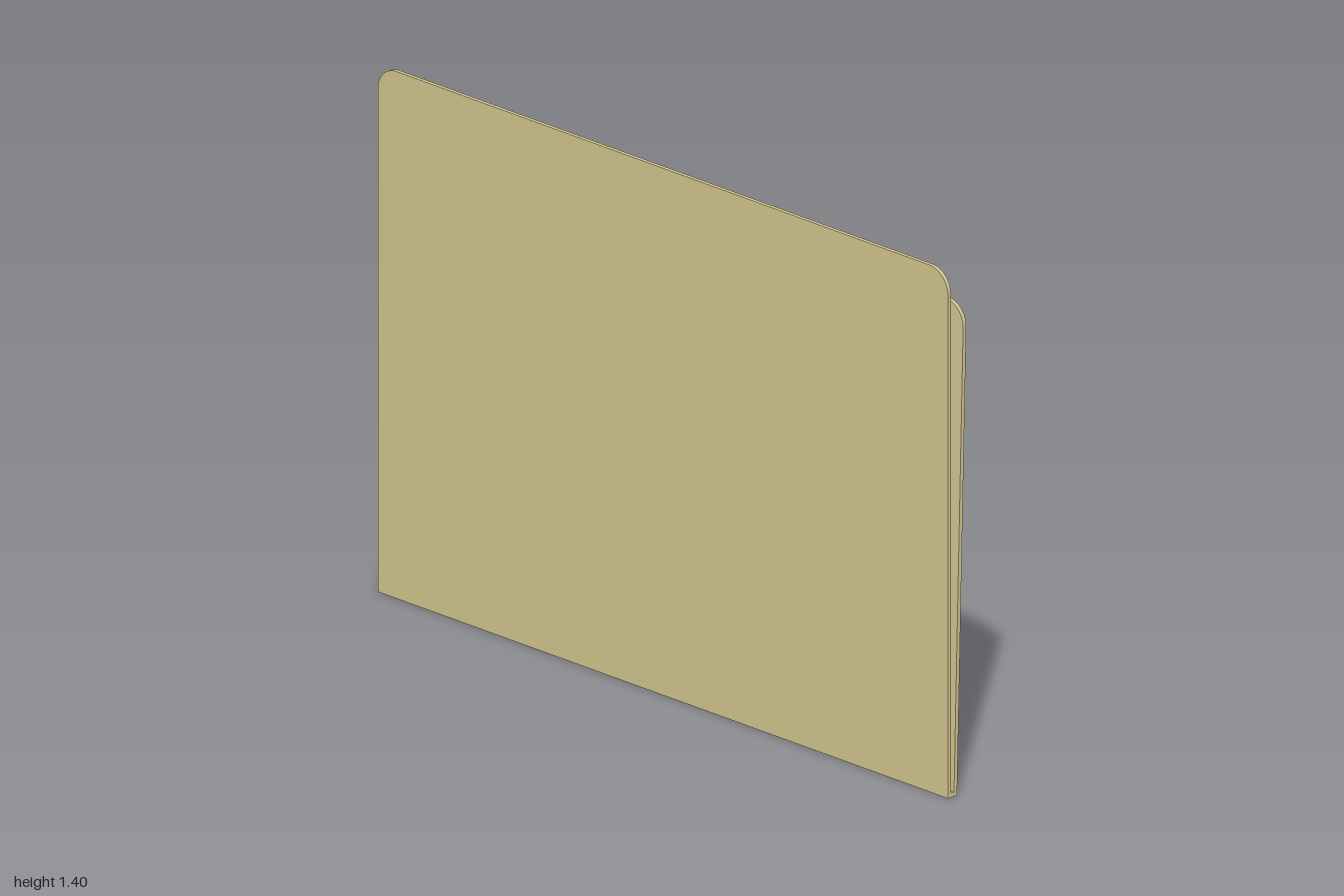
import * as THREE from 'three';

const card = new THREE.MeshStandardMaterial({ color: 0xd2c48f });
const paper = new THREE.MeshStandardMaterial({ color: 0xcccccc });

// Upright panel with rounded top corners; z0 and z1 are its rear-face depths at bottom and top
function panel(name, material, { width, y0, y1, r, depth, z0, z1, x = 0 }) {
  const w = width / 2;
  const s = new THREE.Shape();
  s.moveTo(-w, y0);
  s.lineTo(w, y0);
  s.lineTo(w, y1 - r);
  if (r > 0) s.absarc(w - r, y1 - r, r, 0, Math.PI / 2, false);
  else s.lineTo(w, y1);
  s.lineTo(-w + r, y1);
  if (r > 0) s.absarc(-w + r, y1 - r, r, Math.PI / 2, Math.PI, false);
  s.lineTo(-w, y0);
  const g = new THREE.ExtrudeGeometry(s, { depth, bevelEnabled: false, curveSegments: 8 });
  // Lean the panel by shearing z along its height
  const p = g.attributes.position;
  for (let i = 0; i < p.count; i++) {
    const t = (p.getY(i) - y0) / (y1 - y0);
    p.setZ(i, p.getZ(i) + z0 + (z1 - z0) * t);
  }
  g.translate(x, 0, 0);
  g.computeVertexNormals();
  const mesh = new THREE.Mesh(g, material);
  mesh.name = name;
  return mesh;
}

export function createModel() {
  const group = new THREE.Group();
  group.name = 'folder';

  // Folder covers: tall upright front, shorter back leaning away
  group.add(panel('frontCover', card, { width: 2, y0: 0, y1: 1.405, r: 0.065, depth: 0.011, z0: 0.023, z1: 0.023 }));
  group.add(panel('backCover', card, { width: 2, y0: 0, y1: 1.303, r: 0.065, depth: 0.011, z0: 0.002, z1: -0.032 }));

  // Bottom fold joining the covers
  const spine = new THREE.Mesh(new THREE.BoxGeometry(2, 0.011, 0.012), card);
  spine.position.set(0, 0.0055, 0.018);
  spine.name = 'bottomFold';
  group.add(spine);

  // Loose sheets fanned between the covers: x offset, top, rear z at bottom and top
  const sheets = [
    [-0.015, 1.385, 0.0195, 0.004],
    [0.02, 1.367, 0.017, -0.004],
    [-0.005, 1.342, 0.0145, -0.013],
  ];
  sheets.forEach(([x, y1, z0, z1], i) => {
    group.add(panel('sheet' + (i + 1), paper, { width: 1.87, y0: 0.014, y1, r: 0, depth: 0.0015, z0, z1, x }));
  });
  return group;
}
